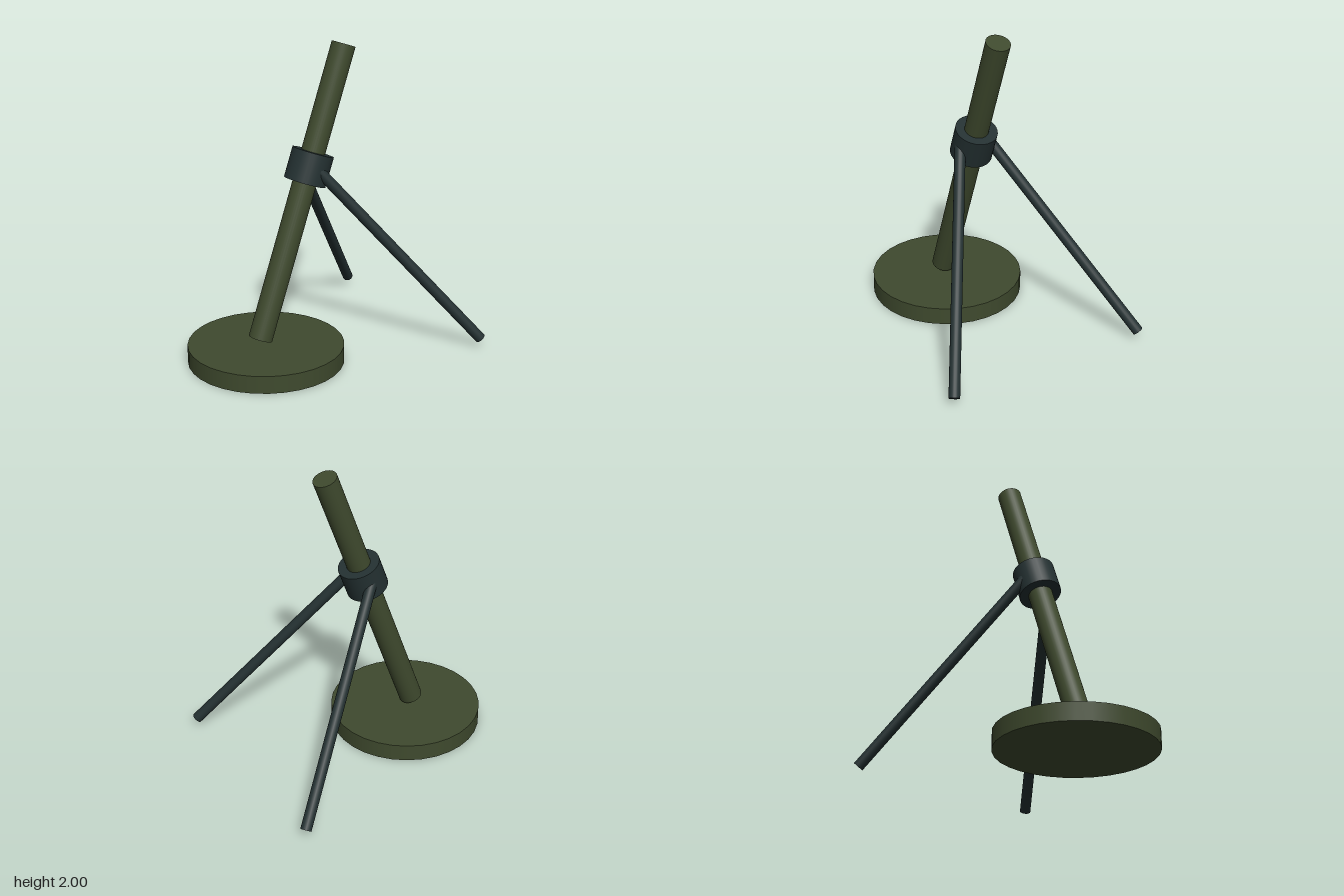
import * as THREE from 'three';

const green = new THREE.MeshStandardMaterial({ color: 0x3f4a2e });
green.name = 'olive green';
const dark = new THREE.MeshStandardMaterial({ color: 0x243132 });
dark.name = 'dark steel';

// Solid cylinder running between two points
function rod(name, from, to, radius, sides, material) {
  const a = new THREE.Vector3(...from);
  const b = new THREE.Vector3(...to);
  const dir = b.clone().sub(a);
  const mesh = new THREE.Mesh(
    new THREE.CylinderGeometry(radius, radius, dir.length(), sides), material);
  mesh.name = name;
  mesh.position.copy(a).add(b).multiplyScalar(0.5);
  mesh.quaternion.setFromUnitVectors(new THREE.Vector3(0, 1, 0), dir.normalize());
  return mesh;
}

export function createModel() {
  const model = new THREE.Group();
  model.name = 'tubeOnBipod';

  // Round ground plate
  model.add(rod('basePlate', [0, 0, 0.375], [0, 0.115, 0.375], 0.5, 32, green));

  // Leaning barrel
  model.add(rod('barrel', [0, 0.155, 0.418], [0, 1.974, -0.243], 0.077, 32, green));

  // Collar clamped around the barrel
  model.add(rod('collar', [0, 1.13, 0.064], [0, 1.316, -0.004], 0.135, 32, dark));

  // Splayed rear legs
  for (const side of [1, -1]) {
    model.add(rod(side > 0 ? 'leftLeg' : 'rightLeg',
      [side * 0.69, 0.055, -0.85], [side * 0.1, 1.222, 0.03], 0.035, 20, dark));
  }
  return model;
}
